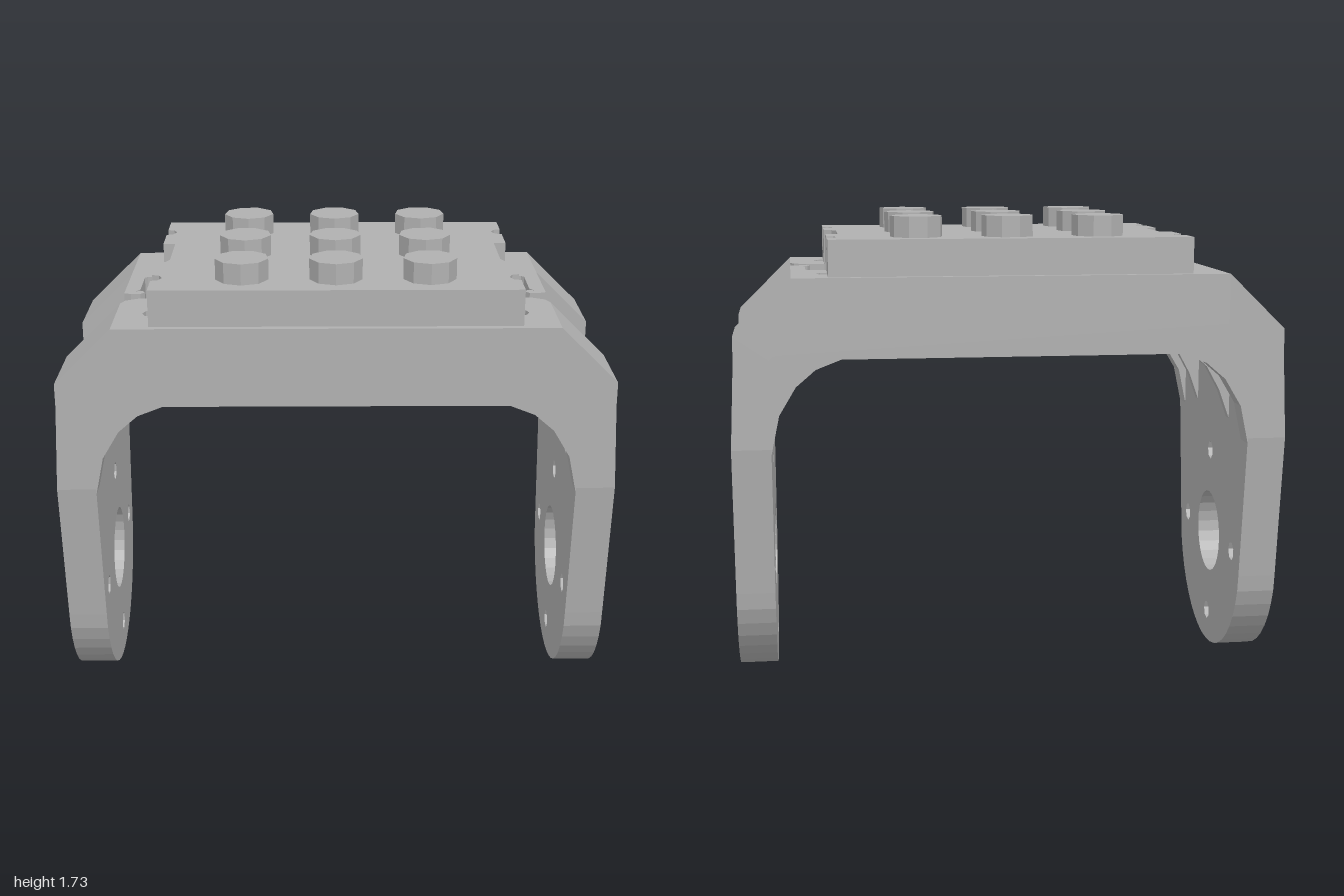
import * as THREE from 'three';

const grey = new THREE.MeshStandardMaterial({ color: 0xb0b0b0, flatShading: true });
grey.name = 'grey plastic';

const shapeOf = pts => new THREE.Shape(pts.map(([x, y]) => new THREE.Vector2(x, y)));
const holeOf = pts => new THREE.Path(pts.map(([x, y]) => new THREE.Vector2(x, y)));
const ngon = (cx, cy, r, n, turn = 0) => Array.from({ length: n }, (_, i) => {
  const a = turn + (i / n) * Math.PI * 2;
  return [cx + r * Math.cos(a), cy + r * Math.sin(a)];
});
// Completes a +x half outline with its mirror image
const mirrorX = half => [...half, ...half.map(([x, y]) => [-x, y]).reverse()];

function extrude(pts, holes, depth) {
  const shape = shapeOf(pts);
  holes.forEach(h => shape.holes.push(holeOf(h)));
  return new THREE.ExtrudeGeometry(shape, { depth, bevelEnabled: false, curveSegments: 12 });
}
// Outline in (x, z), standing from y0 to y1
const slab = (pts, holes, y0, y1) =>
  extrude(pts, holes, y1 - y0).rotateX(Math.PI / 2).translate(0, y1, 0);
// Outline in (z, y), running from x0 to x1
const sidePlate = (pts, holes, x0, x1) =>
  extrude(pts, holes, x1 - x0).rotateY(Math.PI / 2).translate(x0, 0, 0);
// Outline in (x, y), running from z0 to z1
const frontPlate = (pts, z0, z1) => extrude(pts, [], z1 - z0).translate(0, 0, z0);

function part(parent, name, geometry) {
  const mesh = new THREE.Mesh(geometry, grey);
  mesh.name = name;
  parent.add(mesh);
  return mesh;
}

function makeLeg() {
  const leg = new THREE.Group();
  const outline = [[0.51, 1.235], [-0.51, 1.235], [-0.51, 0.92], [-0.44, 0.38]];
  for (let i = 1; i < 20; i++) {
    const a = Math.PI * (1.05 + 0.9 * i / 20);
    outline.push([0.45 * Math.cos(a), 0.45 + 0.45 * Math.sin(a)]);
  }
  outline.push([0.44, 0.38], [0.51, 0.92]);
  const axle = ngon(0, 0.45, 0.16, 24);
  const screws = [[0, 0.78], [0.33, 0.45], [-0.33, 0.45], [0, 0.12]];
  const upper = [[0.33, 1.11], [-0.33, 1.11]].map(([z, y]) => ngon(z, y, 0.035, 7));
  // Inner layer has screw holes, outer layer has hexagonal nut pockets
  part(leg, 'legInnerPlate', sidePlate(outline,
    [axle, ...upper, ...screws.map(([z, y]) => ngon(z, y, 0.036, 7))], 0.86, 0.94));
  const outer = sidePlate(outline,
    [axle, ...upper, ...screws.map(([z, y], i) => ngon(z, y, 0.08, 6, 0.2 + i * 0.3))], 0.94, 0.985);
  // Slight outward swell of the lower outer face
  const p = outer.attributes.position;
  for (let i = 0; i < p.count; i++) {
    if (p.getX(i) > 0.98 && p.getY(i) > 0.03 && p.getY(i) < 1) p.setX(i, 1);
  }
  outer.computeVertexNormals();
  part(leg, 'legOuterPlate', outer);

  // Chamfered shoulders on either side of the window
  const shoulder = [[0.86, 1.235], [0.985, 1.235], [0.985, 1.32], [0.78, 1.52], [0.78, 1.34]];
  part(leg, 'frontShoulder', frontPlate(shoulder, 0.205, 0.51));
  part(leg, 'backShoulder', frontPlate(shoulder, -0.51, -0.205));

  // Curved gussets beside the window
  const gusset = [[0.86, 0.95], [0.86, 1.25], [0.78, 1.34], [0.6, 1.34], [0.62, 1.25],
    [0.7, 1.21], [0.77, 1.15], [0.82, 1.06]];
  for (const z of [-0.25, 0.21]) part(leg, 'gusset', frontPlate(gusset, z, z + 0.04));
  return leg;
}

export function createModel() {
  const model = new THREE.Group();
  model.name = 'bracket';

  // Two identical legs, one turned half round
  const left = makeLeg();
  left.name = 'leftLeg';
  const right = makeLeg();
  right.name = 'rightLeg';
  right.rotation.y = Math.PI;
  model.add(left, right);

  // Arched rims along the front and back
  const arch = mirrorX([[0.61, 1.235], [0.7, 1.2], [0.77, 1.14], [0.83, 1.04], [0.86, 0.9],
    [0.86, 1.25], [0.78, 1.34]]);
  part(model, 'frontRim', frontPlate(arch, 0.42, 0.51));
  part(model, 'backRim', frontPlate(arch, -0.51, -0.42));

  // Hexagonal pockets and zigzag channels under the deck
  const grid = [-0.33, 0, 0.33];
  const pockets = [];
  for (const x of grid) for (const z of grid) pockets.push(ngon(x, z, 0.1, 6));
  for (const z of [-0.165, 0.165]) {
    const edge = [[-0.5, 0.08], [-0.38, 0.05], [-0.28, 0.05], [-0.165, 0.1], [-0.05, 0.05],
      [0.05, 0.05], [0.165, 0.1], [0.28, 0.05], [0.38, 0.05], [0.5, 0.08]];
    pockets.push([...edge.map(([x, d]) => [x, z + d]),
      ...edge.map(([x, d]) => [x, z - d]).reverse()]);
  }
  const bolts = [];
  for (const x of [-0.65, 0.65]) for (const z of [-0.325, 0.325]) bolts.push(ngon(x, z, 0.038, 8));

  // Lower deck layer, open at the windows
  part(model, 'lowerDeck', slab(mirrorX([[0.78, -0.51], [0.78, -0.205], [0.605, -0.205],
    [0.605, 0.205], [0.78, 0.205], [0.78, 0.51]]), [...pockets, ...bolts], 1.34, 1.4));

  // Upper deck layer with a hooked latch at each end
  part(model, 'upperDeckWithHooks', slab(mirrorX([[0.78, -0.51], [0.78, 0.07], [0.755, 0.08],
    [0.72, 0.08], [0.705, 0.06], [0.715, 0.04], [0.74, 0.045], [0.725, 0.02], [0.725, -0.14],
    [0.715, -0.15], [0.62, -0.15], [0.605, -0.135], [0.605, 0.08], [0.62, 0.115], [0.65, 0.13],
    [0.72, 0.14], [0.765, 0.165], [0.78, 0.2], [0.78, 0.51]]), [...pockets, ...bolts], 1.4, 1.52));

  // Top plate with notched ends
  const notch = z => [[0.65, z - 0.038], [0.625, z - 0.03], [0.612, z],
    [0.625, z + 0.03], [0.65, z + 0.038]];
  part(model, 'topPlate', slab(mirrorX([[0.65, -0.485], ...notch(-0.325), [0.65, -0.15],
    [0.605, -0.15], [0.605, 0.08], [0.62, 0.115], [0.65, 0.13], ...notch(0.325),
    [0.65, 0.485]]), [], 1.52, 1.65));

  // Three by three studs
  for (const x of grid) for (const z of grid) {
    const stud = part(model, 'stud', new THREE.CylinderGeometry(0.095, 0.095, 0.08, 9));
    stud.position.set(x, 1.685, z);
  }
  return model;
}
